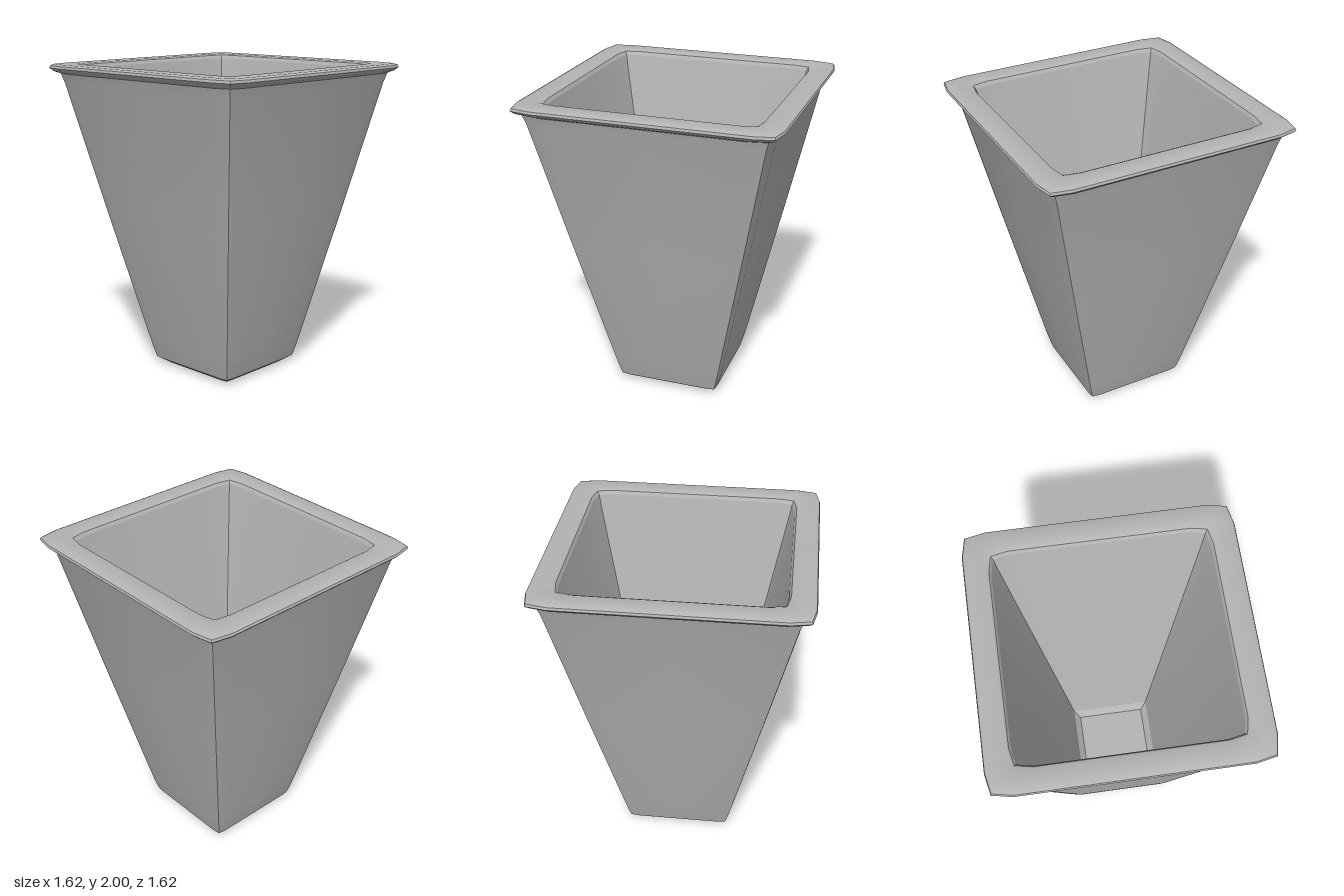
import * as THREE from 'three';
import { toCreasedNormals } from 'three/addons/utils/BufferGeometryUtils.js';

// One softly bulging square ring: half = half width, corner = corner position as a share of half
function ring([half, y, corner]) {
  const points = [];
  for (let side = 0; side < 4; side++) {
    const a = side * Math.PI / 2, s = Math.sin(a), c = Math.cos(a);
    for (const [u, v] of [[-corner, corner], [-0.82, 1], [0, 1], [0.82, 1]]) {
      points.push(new THREE.Vector3(half * (u * c + v * s), y, half * (v * c - u * s)));
    }
  }
  return points;
}

// Skin a run of rings, leaving out triangles that collapse at a centre point
function skin(profile) {
  const rings = profile.map(ring), pos = [];
  const tri = (a, b, c) => {
    if (a.distanceTo(b) < 1e-6 || b.distanceTo(c) < 1e-6 || c.distanceTo(a) < 1e-6) return;
    for (const p of [a, b, c]) pos.push(p.x, p.y, p.z);
  };
  for (let i = 0; i < rings.length - 1; i++) {
    const lo = rings[i], hi = rings[i + 1], n = lo.length;
    for (let j = 0; j < n; j++) {
      const k = (j + 1) % n;
      tri(lo[j], lo[k], hi[k]);
      tri(lo[j], hi[k], hi[j]);
    }
  }
  const geometry = new THREE.BufferGeometry();
  geometry.setAttribute('position', new THREE.Float32BufferAttribute(pos, 3));
  return toCreasedNormals(geometry, 0.6);
}

export function createModel() {
  const group = new THREE.Group();
  group.name = 'squarePlanter';
  const grey = new THREE.MeshStandardMaterial({ color: 0xb4b4b4 });
  grey.name = 'plainGrey';

  // Each profile entry: half width, height, corner share
  const parts = {
    // underside with its bevel
    base: [[0, 0, 1], [0.28, 0.005, 0.98], [0.33, 0.04, 0.98]],
    // tapered outside, curving in at the foot and out under the rim
    outerWall: [
      [0.33, 0.04, 0.98], [0.35, 0.11, 0.975], [0.37, 0.19, 0.97], [0.56, 1.05, 0.97],
      [0.74, 1.88, 0.97], [0.758, 1.94, 0.97],
    ],
    // rolled lip and flat top
    rim: [
      [0.758, 1.94, 0.97], [0.79, 1.955, 0.97], [0.81, 1.975, 0.97], [0.805, 1.99, 0.97],
      [0.785, 2, 0.97], [0.68, 2, 0.97], [0.662, 1.992, 0.97], [0.65, 1.97, 0.97],
    ],
    // tapered inside, square at the bottom
    innerWall: [[0.65, 1.97, 0.97], [0.63, 1.88, 0.975], [0.45, 1.05, 0.985], [0.265, 0.19, 1]],
    // inner floor with a bevelled edge
    floor: [[0.265, 0.19, 1], [0.225, 0.15, 1], [0, 0.15, 1]],
  };
  for (const [name, profile] of Object.entries(parts)) {
    const mesh = new THREE.Mesh(skin(profile), grey);
    mesh.name = name;
    group.add(mesh);
  }
  return group;
}
